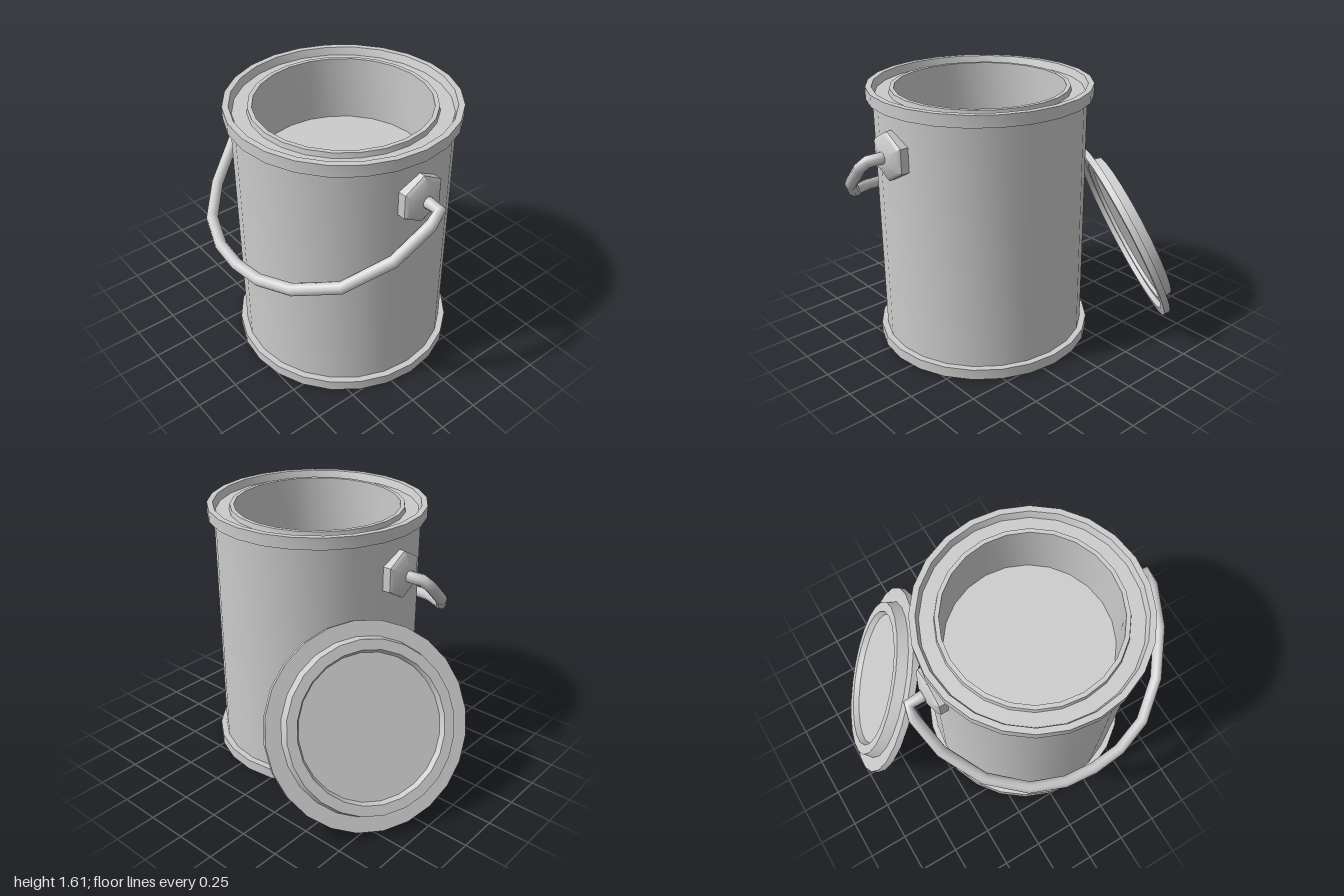
import * as THREE from 'three';
import { toCreasedNormals } from 'three/addons/utils/BufferGeometryUtils.js';

const CX = 0.17, CZ = 0.11; // axis of the can

const material = new THREE.MeshStandardMaterial({ color: 0xcccccc, side: THREE.DoubleSide });

function lathe(name, profile, sides = 24, phiStart = 0) {
  const points = profile.map(([r, y]) => new THREE.Vector2(r, y));
  const geometry = toCreasedNormals(new THREE.LatheGeometry(points, sides, phiStart), 0.5);
  const mesh = new THREE.Mesh(geometry, material);
  mesh.name = name;
  return mesh;
}

// Curve that places one tube ring on every given point, keeping the bends angular
class BentWire extends THREE.Curve {
  constructor(points) {
    super();
    this.points = points;
  }
  getUtoTmapping(u) {
    return u;
  }
  getPoint(t, target = new THREE.Vector3()) {
    const last = this.points.length - 1;
    const f = t * last;
    const i = Math.min(Math.floor(f), last - 1);
    return target.lerpVectors(this.points[i], this.points[i + 1], f - i);
  }
}

export function createModel() {
  const model = new THREE.Group();
  model.name = 'paintCan';

  // Can: base ring, wall, top rim with groove, and the shallow inside
  const can = lathe('can', [
    [0, 0], [0.66, 0], [0.66, 0.065], [0.622, 0.065],
    [0.622, 1.54], [0.66, 1.54], [0.66, 1.61], [0.625, 1.61],
    [0.61, 1.565], [0.53, 1.565], [0.525, 1.595], [0.5, 1.595],
    [0.5, 1.2], [0, 1.2],
  ]);
  can.position.set(CX, 0, CZ);
  model.add(can);

  // Hexagonal handle mounts on both sides
  for (const side of [1, -1]) {
    const mount = lathe(side > 0 ? 'leftMount' : 'rightMount', [
      [0.145, 0.58], [0.145, 0.655], [0.128, 0.668], [0.055, 0.695], [0, 0.695],
    ], 6, Math.PI / 2);
    mount.rotation.z = -side * Math.PI / 2;
    mount.position.set(CX, 1.305, CZ);
    model.add(mount);
  }

  // Wire handle: half the path, mirrored across the can
  const half = [
    [0.67, 1.305, 0.11], [0.785, 1.305, 0.115], [0.795, 1.25, 0.18],
    [0.745, 1.085, 0.38], [0.6, 0.93, 0.607], [0.395, 0.868, 0.777], [0.19, 0.835, 0.85],
  ];
  const at = (s) => ([x, y, z]) => new THREE.Vector3(CX + s * x, y, z);
  const path = [...half.map(at(1)), new THREE.Vector3(CX, 0.826, 0.866), ...half.map(at(-1)).reverse()];
  const handle = new THREE.Mesh(
    new THREE.TubeGeometry(new BentWire(path), path.length - 1, 0.035, 10), material);
  handle.name = 'handle';
  model.add(handle);

  // Lid leaning on the can, its plug facing away from the can
  const lid = lathe('lid', [
    [0, 0.035], [0.49, 0.035], [0.5, 0.012], [0.535, 0.012], [0.55, -0.02],
    [0.6, -0.02], [0.6, 0.02], [0.51, 0.02], [0.495, 0.085],
    [0.435, 0.085], [0.42, 0.05], [0, 0.05],
  ]);
  const facing = new THREE.Vector3(-0.78, 0.42, -0.45).normalize();
  lid.quaternion.setFromUnitVectors(new THREE.Vector3(0, 1, 0), facing);
  lid.position.set(-0.617, 0.567, -0.352);
  model.add(lid);

  return model;
}
